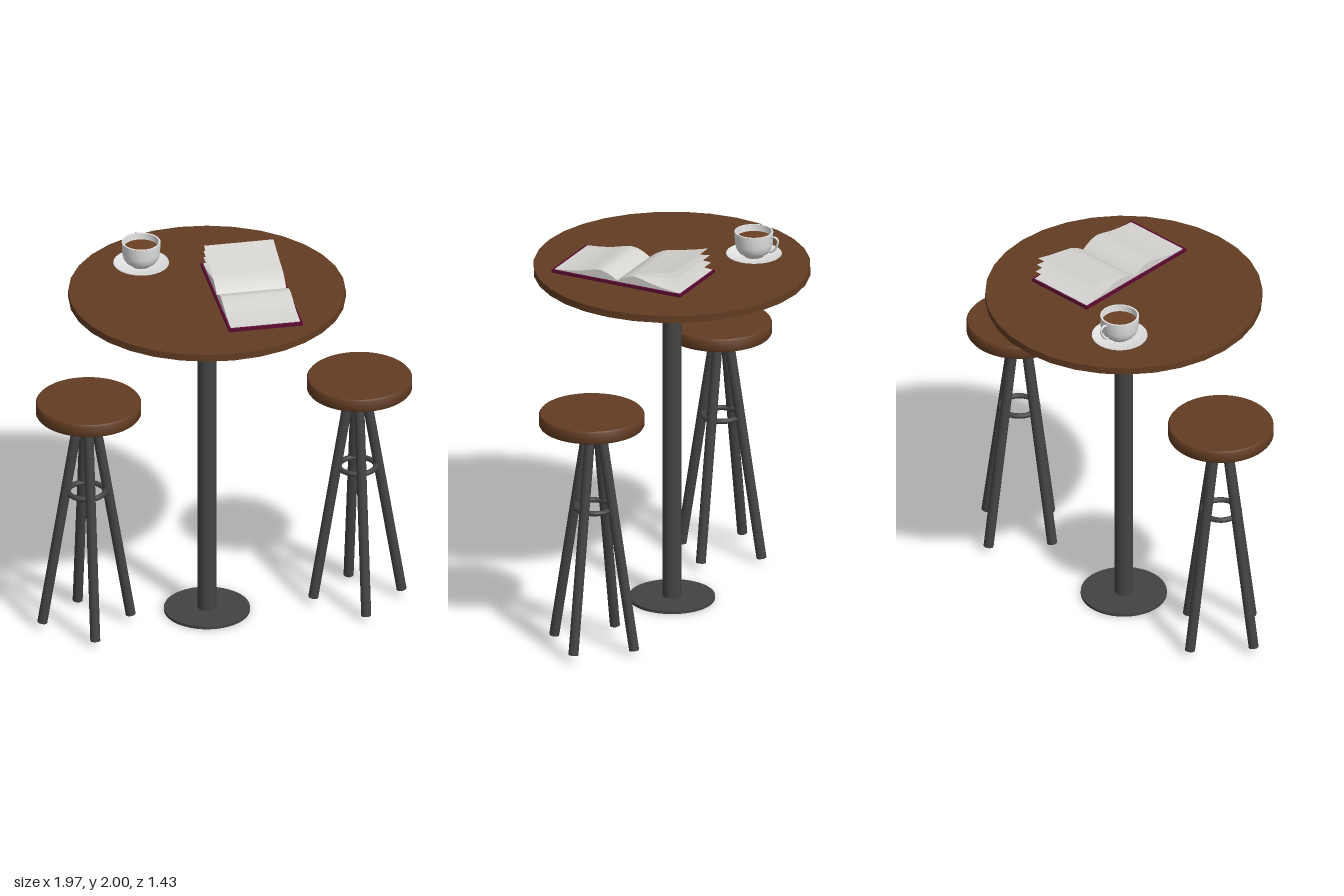
import * as THREE from 'three';
import { toCreasedNormals } from 'three/addons/utils/BufferGeometryUtils.js';

const mat = (name, color, side = THREE.FrontSide) => {
  const m = new THREE.MeshStandardMaterial({ color, side });
  m.name = name;
  return m;
};
const V = (x, y, z) => new THREE.Vector3(x, y, z);

function add(parent, name, geometry, material, x = 0, y = 0, z = 0) {
  const mesh = new THREE.Mesh(geometry, material);
  mesh.name = name;
  mesh.position.set(x, y, z);
  parent.add(mesh);
  return mesh;
}

function group(parent, name, x = 0, y = 0, z = 0) {
  const g = new THREE.Group();
  g.name = name;
  g.position.set(x, y, z);
  parent.add(g);
  return g;
}

// Round bar between two points
function bar(parent, name, a, b, radius, material) {
  const dir = b.clone().sub(a);
  const mesh = add(parent, name, new THREE.CylinderGeometry(radius, radius, dir.length(), 20), material);
  mesh.position.copy(a).add(b).multiplyScalar(0.5);
  mesh.quaternion.setFromUnitVectors(V(0, 1, 0), dir.normalize());
}

// Surface of revolution from [radius, height] pairs, with crisp corners
function lathe(points, segments = 40) {
  const g = new THREE.LatheGeometry(points.map(p => new THREE.Vector2(p[0], p[1])), segments);
  return toCreasedNormals(g, 0.7);
}

// Smooth curve through [z, y] pairs
const pageCurve = pts => new THREE.SplineCurve(pts.map(p => new THREE.Vector2(p[0], p[1])));

export function createModel() {
  const root = new THREE.Group();
  root.name = 'barTableSet';
  const wood = mat('brownWood', 0x633c22);
  const metal = mat('darkMetal', 0x434343);
  const china = mat('whiteChina', 0xe2e2e2);
  const coffeeMat = mat('coffee', 0x6b4023);
  const paper = mat('paper', 0xd6d4d1, THREE.DoubleSide);
  const coverMat = mat('maroonCover', 0x5c0a32);

  // Table
  const table = group(root, 'table', -0.08, 0, 0);
  add(table, 'tableTop', new THREE.CylinderGeometry(0.715, 0.715, 0.038, 32), wood, 0, 1.838, 0);
  add(table, 'tablePole', new THREE.CylinderGeometry(0.048, 0.048, 1.81, 32), metal, 0, 0.915, 0);
  add(table, 'tableBase', new THREE.CylinderGeometry(0.222, 0.222, 0.015, 40), metal, 0, 0.0075, 0);

  // Stools
  for (const [name, x] of [['rightStool', -0.713], ['leftStool', 0.71]]) {
    const stool = group(root, name, x, 0, 0.055);
    add(stool, 'seat', lathe([[0, 1.237], [0.268, 1.237], [0.272, 1.243],
      [0.272, 1.298], [0.266, 1.306], [0, 1.306]], 48), wood);
    const legs = group(stool, 'legs', -0.009, 0, -0.009);
    for (let i = 0; i < 4; i++) {
      const dx = Math.round(Math.cos(i * Math.PI / 2));
      const dz = Math.round(Math.sin(i * Math.PI / 2));
      const foot = dx ? 0.04 : 0.027;
      bar(legs, 'leg', V(dx * 0.232, foot, dz * 0.232), V(dx * 0.035, 1.245, dz * 0.035), 0.026, metal);
    }
    const ring = add(legs, 'footRing', new THREE.TorusGeometry(0.095, 0.014, 12, 40), metal, 0, 0.78, 0);
    ring.rotation.x = Math.PI / 2;
  }

  // Cup, saucer and coffee
  const cup = group(root, 'cupAndSaucer', -0.36, 0, -0.33);
  add(cup, 'saucer', lathe([[0, 1.858], [0.07, 1.858], [0.11, 1.866], [0.144, 1.877],
    [0.143, 1.881], [0.105, 1.871], [0.065, 1.865], [0, 1.865]]), china);
  add(cup, 'cupBody', lathe([[0, 1.865], [0.05, 1.865], [0.055, 1.874], [0.077, 1.888],
    [0.091, 1.908], [0.098, 1.935], [0.1, 2], [0.091, 2], [0.089, 1.935], [0.07, 1.895], [0, 1.885]]), china);
  add(cup, 'coffee', new THREE.CircleGeometry(0.0895, 40).rotateX(-Math.PI / 2), coffeeMat, 0, 1.965, 0);
  const handlePath = new THREE.CatmullRomCurve3([V(0, 1.98, -0.094), V(0, 1.987, -0.122),
    V(0, 1.972, -0.139), V(0, 1.94, -0.132), V(0, 1.912, -0.112), V(0, 1.9, -0.086)]);
  add(cup, 'cupHandle', new THREE.TubeGeometry(handlePath, 28, 0.006, 10), china);

  // Open book
  const book = group(root, 'openBook', 0.132, 0, 0);
  add(book, 'cover', new THREE.BoxGeometry(0.387, 0.016, 0.748), coverMat, 0, 1.872, 0.116);

  // Page blocks: arched profile extruded across the book
  const pageWidth = 0.365;
  for (const [name, dir] of [['frontPages', 1], ['backPages', -1]]) {
    const spine = 0.113;
    const arch = pageCurve([[0, 1.886], [0.04, 1.909], [0.09, 1.925], [0.14, 1.92],
      [0.22, 1.9], [0.3, 1.888], [0.362, 1.883]]).getPoints(28);
    // shape x runs along -z before turning
    const outline = [[0, 1.88], ...arch.map(p => [p.x, p.y]), [0.362, 1.88]]
      .map(([d, y]) => new THREE.Vector2(-(spine + dir * d), y));
    const geo = new THREE.ExtrudeGeometry(new THREE.Shape(outline), { depth: pageWidth, bevelEnabled: false });
    geo.rotateY(Math.PI / 2).translate(-pageWidth / 2, 0, 0);
    add(book, name, toCreasedNormals(geo, 0.5), paper);
  }

  // Loose sheets fanning up from the spine
  for (const [tipZ, tipY] of [[-0.226, 1.997], [-0.236, 1.96], [-0.243, 1.922]]) {
    const lift = (tipY - 1.883) / 0.114;
    const curve = pageCurve([[0.113, 1.886], [0.07, 1.911 + 0.006 * lift], [0.02, 1.926 + 0.014 * lift],
      [-0.05, 1.921 + 0.034 * lift], [-0.14, 1.899 + 0.075 * lift], [tipZ, tipY]]);
    const geo = new THREE.PlaneGeometry(pageWidth, 1, 1, 24).rotateX(-Math.PI / 2);
    const pos = geo.attributes.position;
    for (let i = 0; i < pos.count; i++) {
      const p = curve.getPoint(THREE.MathUtils.clamp(0.5 - pos.getZ(i), 0, 1));
      pos.setY(i, p.y);
      pos.setZ(i, p.x);
    }
    geo.computeVertexNormals();
    add(book, 'looseSheet', geo, paper);
  }

  return root;
}
